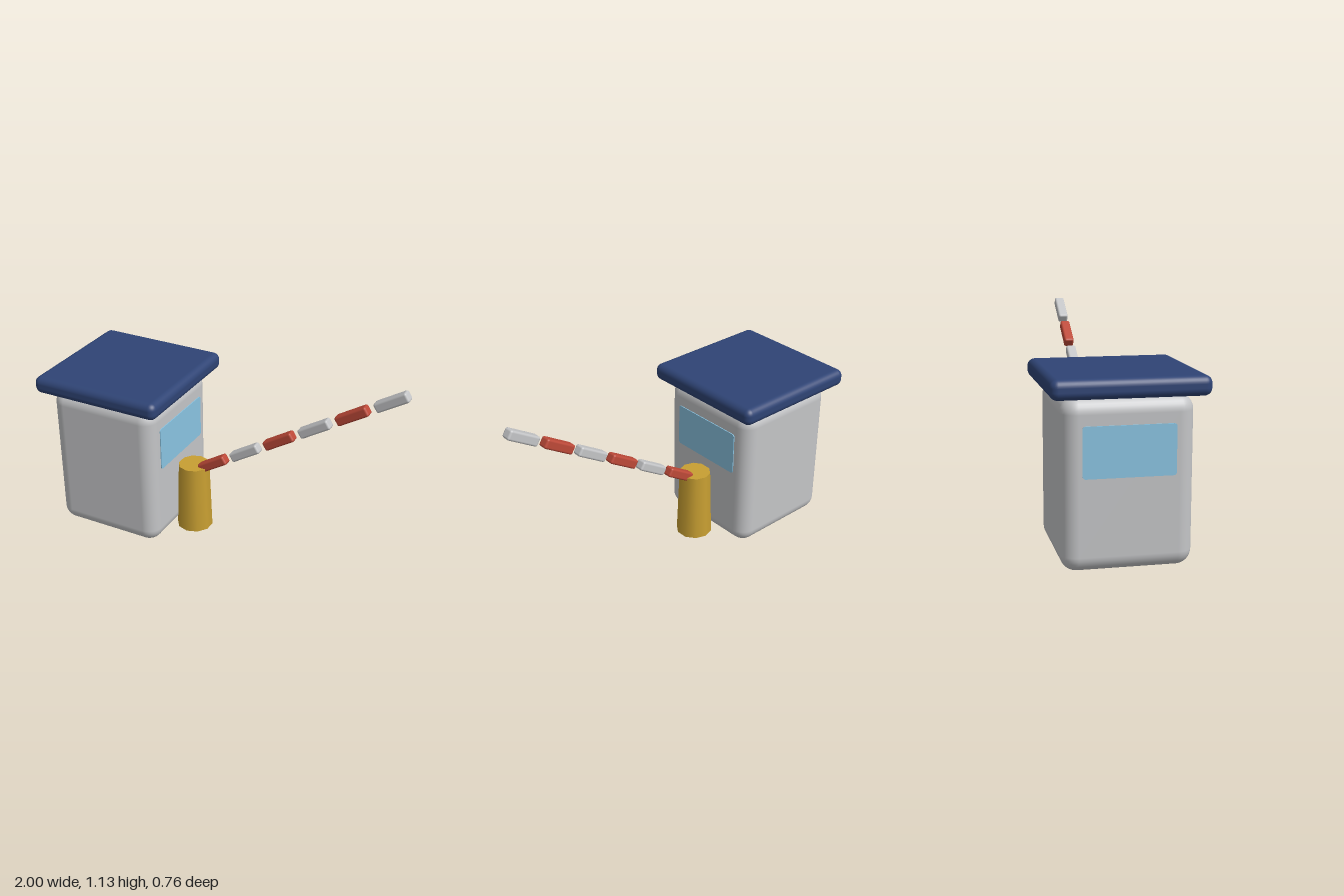
import * as THREE from 'three';
import { RoundedBoxGeometry } from 'three/addons/geometries/RoundedBoxGeometry.js';

const material = (name, color) => {
  const m = new THREE.MeshStandardMaterial({ color });
  m.name = name;
  return m;
};

export function createModel() {
  const group = new THREE.Group();
  group.name = 'barrierBooth';
  const grey = material('pale grey', 0xc4c5c7);
  const navy = material('navy blue', 0x2f4475);
  const glass = material('window blue', 0x8ac4e2);
  const yellow = material('post yellow', 0xc89f32);
  const red = material('barrier red', 0xbd4938);

  const add = (name, geometry, mat, x, y, z = 0) => {
    const mesh = new THREE.Mesh(geometry, mat);
    mesh.name = name;
    mesh.position.set(x, y, z);
    group.add(mesh);
    return mesh;
  };

  // Booth and overhanging roof slab
  const boothX = -0.62;
  add('booth', new RoundedBoxGeometry(0.64, 0.84, 0.64, 4, 0.08), grey, boothX, 0.42);
  add('roof', new RoundedBoxGeometry(0.76, 0.097, 0.76, 4, 0.038), navy, boothX, 0.885);

  // Side windows: thin plates with softly rounded corners
  const w = 0.224, h = 0.124, r = 0.014;
  const pane = new THREE.Shape();
  pane.absarc(w - r, h - r, r, 0, Math.PI / 2);
  pane.absarc(-w + r, h - r, r, Math.PI / 2, Math.PI);
  pane.absarc(-w + r, -h + r, r, Math.PI, Math.PI * 1.5);
  pane.absarc(w - r, -h + r, r, Math.PI * 1.5, Math.PI * 2);
  const paneGeometry = new THREE.ExtrudeGeometry(pane, { depth: 0.008, bevelEnabled: false, curveSegments: 3 });
  for (const side of [-1, 1]) {
    const win = add(side > 0 ? 'leftWindow' : 'rightWindow', paneGeometry, glass, boothX + side * 0.317, 0.584);
    win.rotation.y = side * Math.PI / 2;
  }

  // Tapered barrier post
  add('barrierPost', new THREE.CylinderGeometry(0.089, 0.103, 0.4, 10), yellow, -0.218, 0.2);

  // Raised arm made of alternating striped bars
  const barGeometry = new RoundedBoxGeometry(0.19, 0.054, 0.056, 2, 0.012);
  for (let i = 0; i < 6; i++) {
    const bar = add('armBar' + (i + 1), barGeometry, i % 2 ? grey : red, -0.093 + i * 0.2, 0.436 + i * 0.126);
    bar.rotation.z = Math.atan2(0.126, 0.2);
  }
  return group;
}
